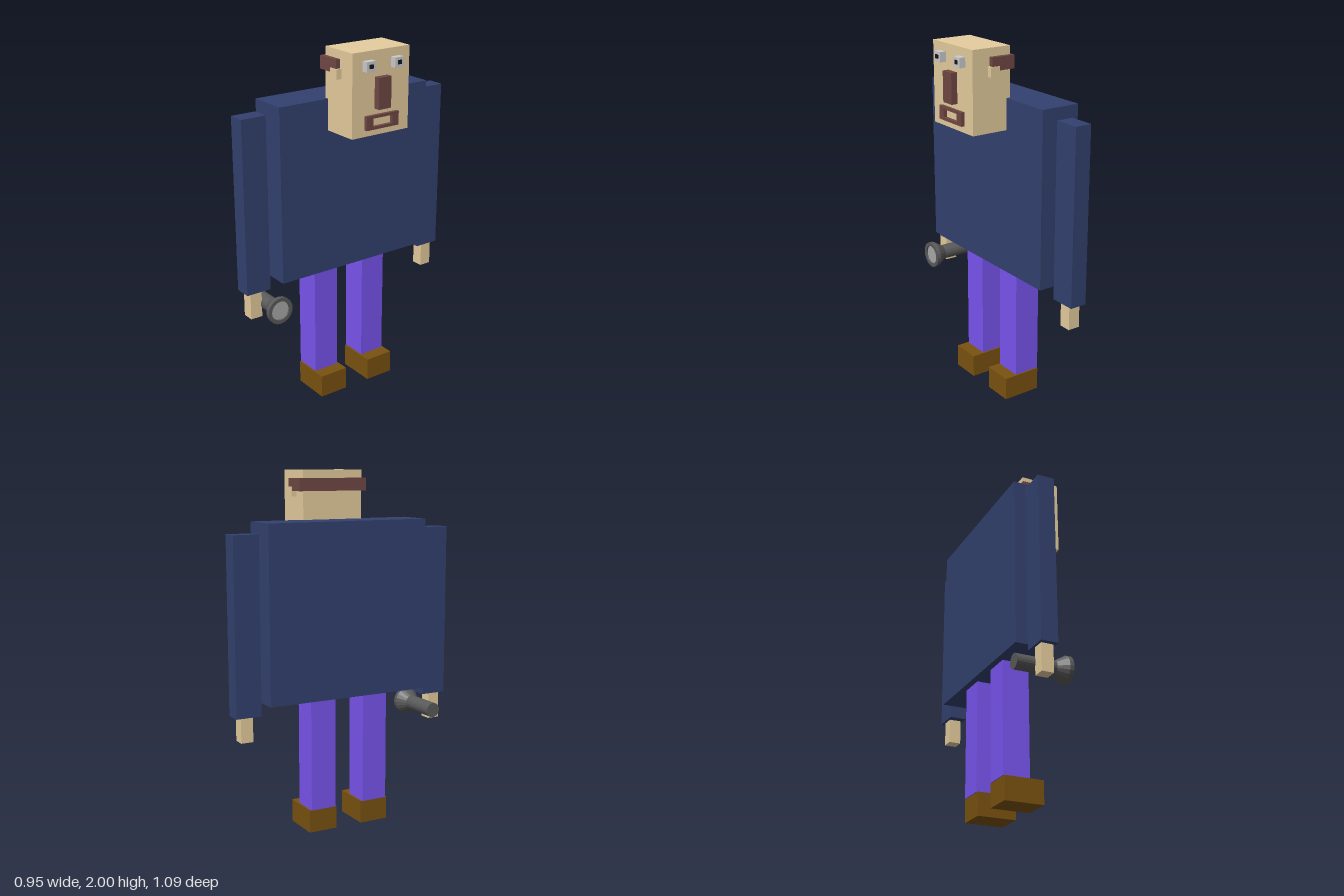
import * as THREE from 'three';

const mat = (color) => new THREE.MeshStandardMaterial({ color, flatShading: true });

export function createModel() {
  const skin = mat(0xe6cd9e), coat = mat(0x33416f), trousers = mat(0x7a55f0), leather = mat(0x7a5210);
  const hair = mat(0x704844), white = mat(0xcccccc), black = mat(0x151515);
  const metal = mat(0x5a5a5a), glass = mat(0xaaaaaa);

  const model = new THREE.Group();
  model.name = 'figure';
  const body = new THREE.Group();
  body.name = 'body';
  body.rotation.y = 0.855; // the figure stands turned to its left
  model.add(body);

  const add = (name, geometry, material, x, y, z, parent = body) => {
    const mesh = new THREE.Mesh(geometry, material);
    mesh.name = name;
    mesh.position.set(x, y, z);
    parent.add(mesh);
    return mesh;
  };
  // Box given by centre x, width, bottom, top, back and front
  const box = (name, material, x, w, y0, y1, z0, z1, parent) =>
    add(name, new THREE.BoxGeometry(w, y1 - y0, z1 - z0), material, x, (y0 + y1) / 2, (z0 + z1) / 2, parent);

  box('torso', coat, 0.021, 0.967, 0.76, 1.73, -0.115, 0.109);

  // Legs and shoes
  for (const [side, x] of [['left', 0.17], ['right', -0.157]]) {
    box(side + 'Leg', trousers, x, 0.152, 0.13, 0.76, -0.079, 0.073);
    box(side + 'Shoe', leather, x, 0.17, 0, 0.13, -0.074, 0.147);
  }

  // Arms and hands
  for (const [side, x, handX, z, dy] of [['left', 0.605, 0.612, -0.008, 0], ['right', -0.569, -0.58, -0.014, 0.007]]) {
    box(side + 'Arm', coat, x, 0.146, 0.702 + dy, 1.672 + dy, z - 0.048, z + 0.048);
    box(side + 'Hand', skin, handX, 0.07, 0.563 - dy, 0.71 + dy, z - 0.034, z + 0.034);
  }

  // Head, centred sideways on its own group
  const head = new THREE.Group();
  head.name = 'head';
  head.position.x = 0.019;
  body.add(head);
  box('skull', skin, 0, 0.364, 1.56, 2, 0.088, 0.317, head);
  box('hairBand', hair, 0, 0.416, 1.885, 1.955, 0.078, 0.214, head);
  box('nose', hair, 0, 0.08, 1.7, 1.865, 0.31, 0.352, head);
  for (const [side, s] of [['left', 1], ['right', -1]]) {
    box(side + 'Ear', skin, s * 0.192, 0.04, 1.855, 1.908, 0.17, 0.225, head);
    box(side + 'Eye', white, s * 0.09, 0.056, 1.902, 1.955, 0.31, 0.352, head);
    box(side + 'Pupil', black, s * 0.09, 0.022, 1.919, 1.94, 0.345, 0.357, head);
  }

  // Mouth: a rectangular frame of lips
  const rect = (path, w, h) => {
    path.moveTo(-w, -h);
    path.lineTo(w, -h);
    path.lineTo(w, h);
    path.lineTo(-w, h);
    path.closePath();
    return path;
  };
  const lips = rect(new THREE.Shape(), 0.104, 0.037);
  lips.holes.push(rect(new THREE.Path(), 0.062, 0.022));
  add('lips', new THREE.ExtrudeGeometry(lips, { depth: 0.027, bevelEnabled: false }), hair, 0, 1.633, 0.31, head);

  // Torch held in the right hand, pointing forward
  const torch = new THREE.Group();
  torch.name = 'torch';
  torch.position.set(-0.51, 0.63, 0);
  torch.rotation.x = Math.PI / 2;
  body.add(torch);
  const profile = [[0, -0.149], [0.042, -0.149], [0.042, 0.075], [0.076, 0.13], [0.076, 0.153], [0.055, 0.153], [0.053, 0.142]]
    .map(([r, y]) => new THREE.Vector2(r, y));
  add('torchCase', new THREE.LatheGeometry(profile, 20), metal, 0, 0, 0, torch);
  add('torchLens', new THREE.CylinderGeometry(0.054, 0.054, 0.01, 20), glass, 0, 0.14, 0, torch);

  return model;
}
